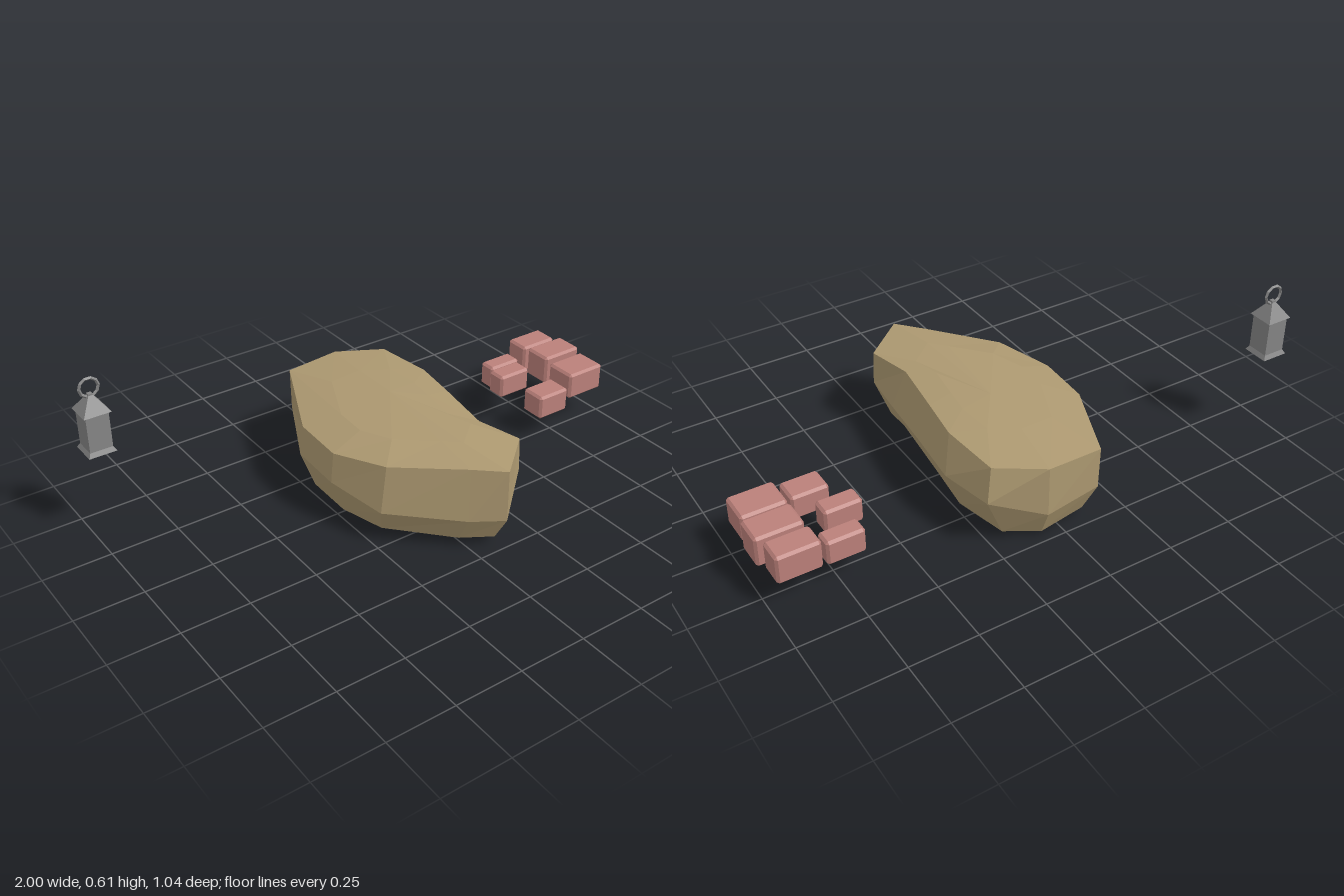
import * as THREE from 'three';
import { ConvexGeometry } from 'three/addons/geometries/ConvexGeometry.js';

const mat = (color) => new THREE.MeshStandardMaterial({ color, flatShading: true });

function part(name, geometry, material, parent, x = 0, y = 0, z = 0) {
  const mesh = new THREE.Mesh(geometry, material);
  mesh.name = name;
  mesh.position.set(x, y, z);
  parent.add(mesh);
  return mesh;
}

// Box with every edge chamfered by c
function chamferedBox(w, h, d, c) {
  const points = [];
  for (const sx of [-1, 1]) for (const sy of [-1, 1]) for (const sz of [-1, 1]) {
    const x = w / 2, y = h / 2, z = d / 2;
    points.push(
      new THREE.Vector3(sx * x, sy * (y - c), sz * (z - c)),
      new THREE.Vector3(sx * (x - c), sy * y, sz * (z - c)),
      new THREE.Vector3(sx * (x - c), sy * (y - c), sz * z));
  }
  return new ConvexGeometry(points);
}

// Skin closed rings (bottom to top, each running back -> +x -> front) and cap both ends
function skinRings(rings, bottom, top) {
  const n = rings[0].length;
  const index = [];
  const last = (rings.length - 1) * n, b = rings.length * n, t = b + 1;
  for (let i = 0; i < n; i++) {
    const j = (i + 1) % n;
    for (let r = 0; r < rings.length - 1; r++) {
      const a = r * n + i, c = r * n + j;
      index.push(a, a + n, c, c, a + n, c + n);
    }
    index.push(b, i, j, t, last + j, last + i);
  }
  const g = new THREE.BufferGeometry();
  g.setAttribute('position', new THREE.Float32BufferAttribute([...rings.flat(), bottom, top].flat(), 3));
  g.setIndex(index);
  const flat = g.toNonIndexed();
  flat.computeVertexNormals();
  return flat;
}

function boulderGeometry() {
  const lower = [
    [0.08, 0.02, -0.47], [0.2, 0.03, -0.41], [0.25, 0.04, -0.22], [0.22, 0.03, -0.02],
    [0.2, 0.055, 0.26], [0.2, 0.05, 0.36], [0.08, 0.04, 0.47], [-0.02, 0.035, 0.4],
    [-0.2, 0.035, 0.2], [-0.245, 0.035, 0.03], [-0.24, 0.035, -0.16], [-0.1, 0.03, -0.45]];
  const middle = [
    [0.09, 0.13, -0.52], [0.275, 0.2, -0.44], [0.315, 0.2, -0.24], [0.286, 0.19, -0.02],
    [0.25, 0.165, 0.25], [0.255, 0.2, 0.38], [0.088, 0.13, 0.52], [-0.02, 0.13, 0.45],
    [-0.23, 0.13, 0.24], [-0.295, 0.17, 0.035], [-0.285, 0.17, -0.18], [-0.12, 0.15, -0.505]];
  const rim = [
    [0.09, 0.32, -0.52], [0.25, 0.325, -0.42], [0.27, 0.33, -0.19], [0.245, 0.33, -0.02],
    [0.21, 0.325, 0.21], [0.25, 0.325, 0.38], [0.088, 0.325, 0.52], [0, 0.32, 0.43],
    [-0.2, 0.3, 0.23], [-0.28, 0.28, 0.03], [-0.27, 0.28, -0.18], [-0.12, 0.31, -0.51]];
  // Underside and crown are the neighbouring rings drawn inward
  const underside = lower.map(([x, , z]) => [x * 0.6, 0.008, z * 0.7]);
  const crown = rim.map(([x, y, z]) => [0.02 + (x - 0.02) * 0.6, y * 0.4 + 0.212, z * 0.6]);
  return skinRings([underside, lower, middle, rim, crown], [0, 0, -0.1], [0.05, 0.354, -0.1]);
}

// Four-sided tapered block from half-widths
function squareFrustum(topHalf, bottomHalf, height) {
  const g = new THREE.CylinderGeometry(topHalf * Math.SQRT2, bottomHalf * Math.SQRT2, height, 4);
  return g.rotateY(Math.PI / 4);
}

export function createModel() {
  const model = new THREE.Group();
  model.name = 'boulderBricksAndLantern';

  part('boulder', boulderGeometry(), mat(0xad9971), model);

  // Bricks: x, y, z ranges
  const bricks = new THREE.Group();
  bricks.name = 'bricks';
  model.add(bricks);
  const brickMat = mat(0xbb807a);
  [
    [0.655, 0.794, 0.09, 0.185, -0.32, -0.25],
    [0.607, 0.746, 0.118, 0.21, -0.21, -0.134],
    [0.655, 0.794, 0.09, 0.185, -0.058, 0.043],
    [0.818, 0.976, 0.118, 0.227, -0.345, -0.247],
    [0.824, 0.997, 0.116, 0.232, -0.235, -0.122],
    [0.821, 0.987, 0.116, 0.221, -0.102, 0.024],
  ].forEach(([x0, x1, y0, y1, z0, z1]) => {
    part('brick', chamferedBox(x1 - x0, y1 - y0, z1 - z0, 0.009), brickMat, bricks,
      (x0 + x1) / 2, (y0 + y1) / 2, (z0 + z1) / 2);
  });

  // Lantern
  const lantern = new THREE.Group();
  lantern.name = 'lantern';
  lantern.position.set(-0.951, 0.337, -0.381);
  model.add(lantern);
  const metal = mat(0x858585);
  part('lanternBase', squareFrustum(0.041, 0.05, 0.016), metal, lantern, 0, 0.008, 0);
  part('lanternBody', squareFrustum(0.041, 0.041, 0.134), metal, lantern, 0, 0.083, 0);
  part('lanternRoof', squareFrustum(0.008, 0.049, 0.058), metal, lantern, 0, 0.179, 0);
  part('ringMount', new THREE.BoxGeometry(0.016, 0.02, 0.016), metal, lantern, 0, 0.204, 0);
  part('carryRing', new THREE.TorusGeometry(0.034, 0.006, 4, 10), metal, lantern, 0, 0.235, 0);

  return model;
}
